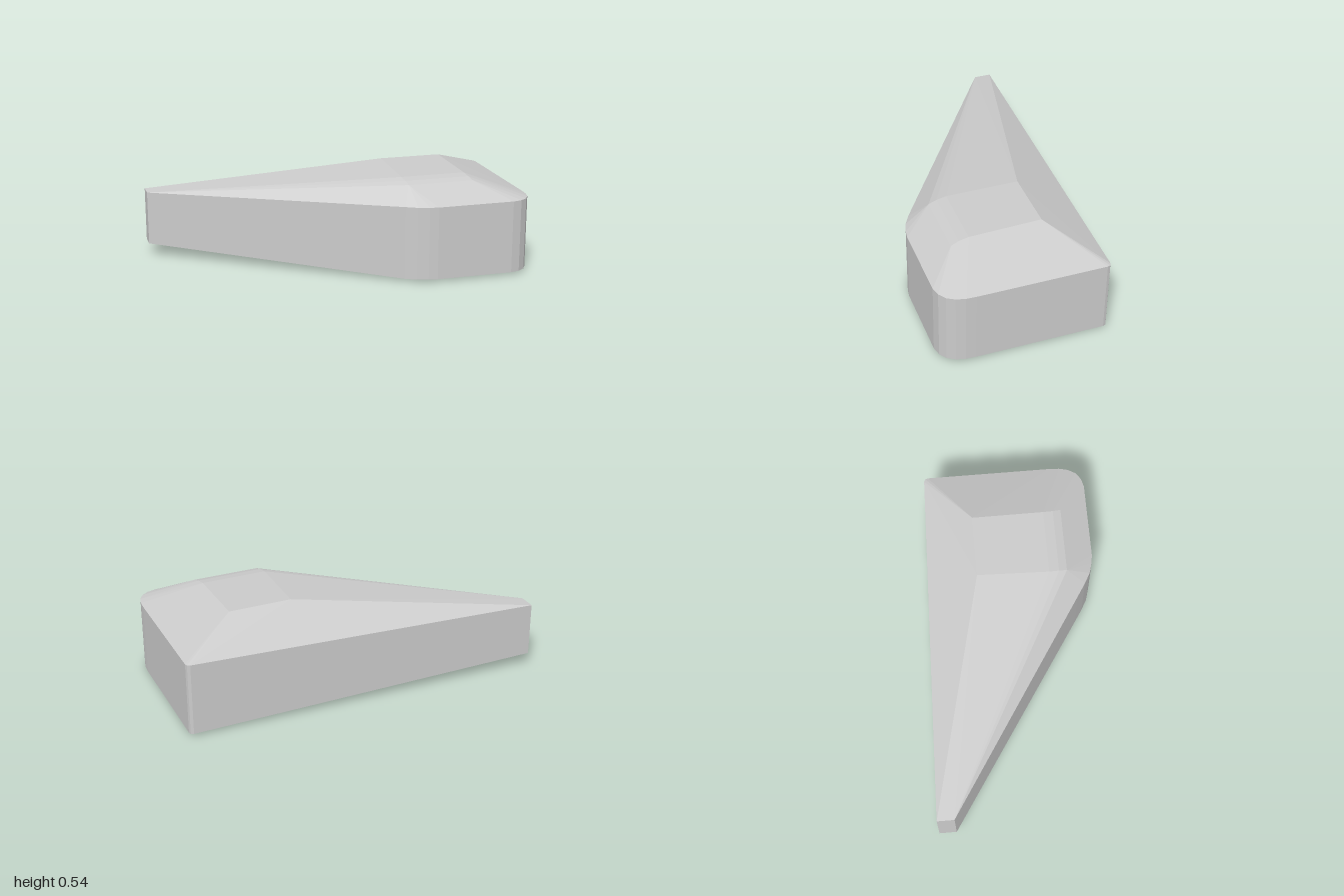
import * as THREE from 'three';
import { ConvexGeometry } from 'three/addons/geometries/ConvexGeometry.js';

// Plan outline of the upright walls, [x, z]
const outline = [
  [-1, -0.49], [-1, -0.395], [0.2, 0.385], [0.27, 0.43], [0.33, 0.463], [0.39, 0.48], [0.44, 0.487],
  [0.87, 0.487], [0.92, 0.475], [0.96, 0.447], [0.985, 0.405], [0.997, 0.355], [1, 0.3],
  [1, -0.405], [0.995, -0.42], [0.98, -0.428],
];

// Cross-section of the raised crest, [z, y, left end x, right end x]
const crest = [
  [-0.17, 0.541, 0.32, 0.67], [0.23, 0.533, 0.31, 0.675], [0.285, 0.525, 0.315, 0.68], [0.33, 0.512, 0.32, 0.69],
];

// Shallow keel below the walls
const keel = [[-0.2, 0.017, -0.29], [0.2, 0.004, -0.17], [0.4, 0, -0.14]];

export function createModel() {
  const points = [];
  const add = (x, y, z) => points.push(new THREE.Vector3(x, y, z));

  // Walls become lower and shallower towards the narrow tail
  for (const [x, z] of outline) {
    const end = z < -0.4 ? 0.98 : 0.27;
    const t = Math.min(1, (x + 1) / (end + 1));
    add(x, 0.377 + 0.043 * t, z);
    add(x, 0.074 - 0.06 * t, z);
  }
  for (const [z, y, x0, x1] of crest) {
    add(x0, y, z);
    add(x1, y, z);
  }
  for (const p of keel) add(...p);

  const body = new THREE.Mesh(
    new ConvexGeometry(points),
    new THREE.MeshStandardMaterial({ color: 0xcccccc, flatShading: true }),
  );
  body.name = 'taperedBody';

  const group = new THREE.Group();
  group.name = 'taperedBlock';
  group.add(body);
  return group;
}
